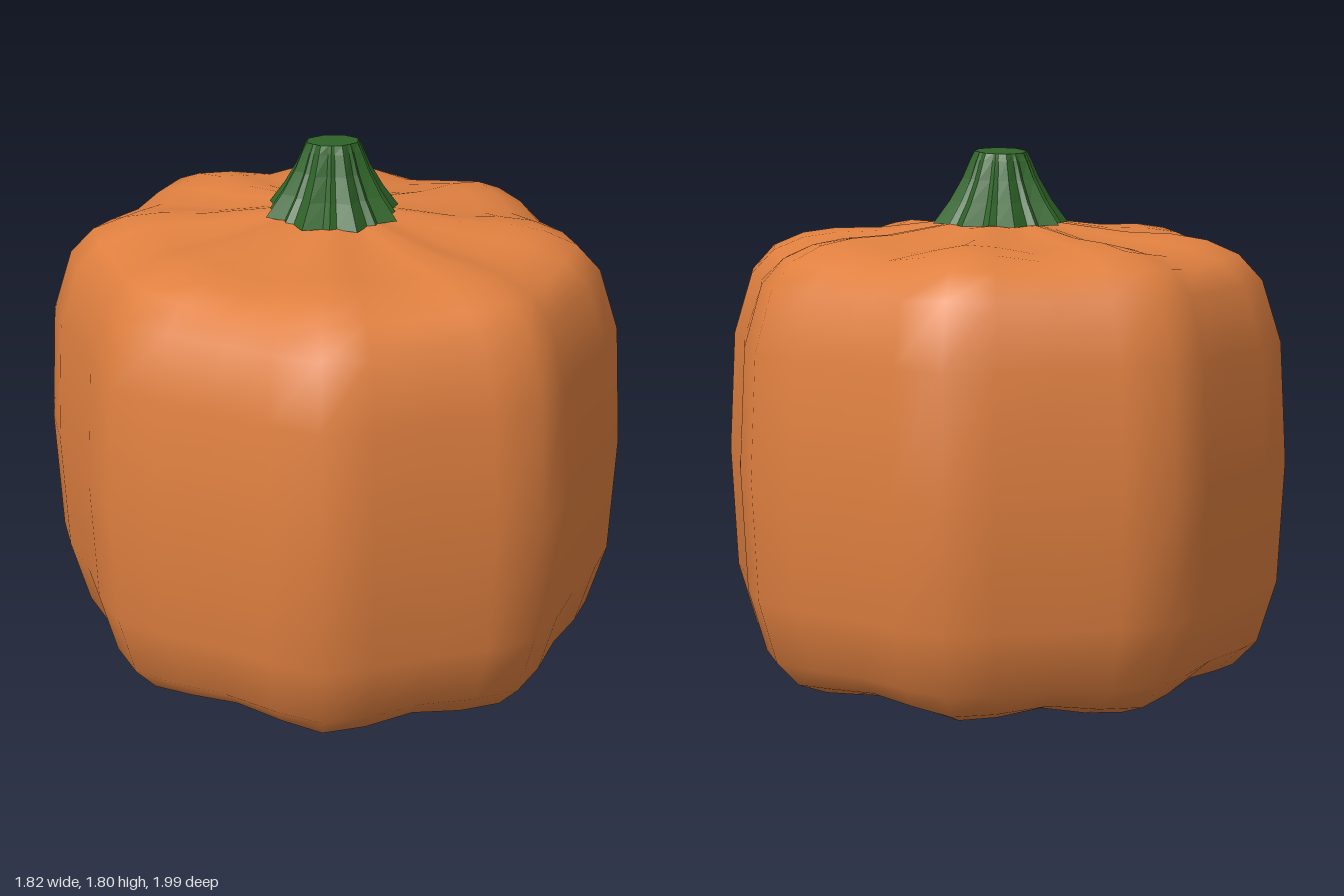
import * as THREE from 'three';

// Joins rings of points (bottom to top, counter-clockwise seen from above) and closes both ends.
function loft(rings, bottom, top) {
  const n = rings[0].length;
  const pts = [...rings.flat(), bottom, top];
  const index = [];
  for (let i = 0; i < rings.length - 1; i++) {
    for (let j = 0; j < n; j++) {
      const a = i * n + j, b = i * n + (j + 1) % n;
      index.push(a, b, b + n, a, b + n, a + n);
    }
  }
  const last = (rings.length - 1) * n, lo = rings.length * n;
  for (let j = 0; j < n; j++) {
    const k = (j + 1) % n;
    index.push(lo, k, j, lo + 1, last + j, last + k);
  }
  const geo = new THREE.BufferGeometry();
  geo.setAttribute('position', new THREE.Float32BufferAttribute(pts.flat(), 3));
  geo.setIndex(index);
  geo.computeVertexNormals();
  return geo;
}

function makeBody() {
  // A quarter of the widest outline as [x, z, valley depth], mirrored into a full loop
  const quarter = [
    [0, 0.98, 0.8], [0.2, 0.995, 0.2], [0.37, 0.98, 0], [0.5, 0.86, 0.5], [0.63, 0.7, 1],
    [0.78, 0.55, 0.5], [0.89, 0.41, 0], [0.91, 0.22, 0.2], [0.895, 0, 0.8],
  ];
  const back = quarter.slice(0, 8).reverse().map(([x, z, v]) => [x, -z, v]);
  const half = [...quarter, ...back];
  const left = half.slice(1, -1).reverse().map(([x, z, v]) => [-x, z, v]);
  const outline = [...half, ...left];

  // Rings from bottom to top: [scale, height, dip of the valleys]
  const levels = [
    [0.22, 0.02, 0.008], [0.44, 0.008, 0.025], [0.6, 0.003, 0.035], [0.72, 0.02, 0.035],
    [0.83, 0.063, 0.025], [0.912, 0.148, 0.01], [0.978, 0.36, 0], [1, 0.77, 0],
    [0.978, 1.17, 0], [0.912, 1.375, -0.01], [0.83, 1.46, -0.025], [0.72, 1.505, -0.035],
    [0.6, 1.523, -0.04], [0.44, 1.527, -0.03], [0.22, 1.553, -0.01],
  ];
  const rings = levels.map(([s, y, dip]) => outline.map(([x, z, v]) => [x * s, y + dip * v, z * s]));
  return loft(rings, [0, 0.03, 0], [0, 1.555, 0]);
}

function makeStem() {
  // Eight broad ridges with a thin rib in the groove between each pair
  const ridge = [[0, 1], [0.35, 0.83], [0.5, 0.9], [0.65, 0.83]];
  // [radius, height, ridge strength, tilt]
  const levels = [
    [0.25, 1.55, 1, 0], [0.19, 1.625, 0.95, 0], [0.143, 1.7, 0.85, 0.02],
    [0.112, 1.765, 0.7, 0.05], [0.097, 1.792, 0.5, 0.08],
  ];
  const rings = levels.map(([r, y, strength, tilt]) => {
    const ring = [];
    for (let k = 0; k < 8; k++) {
      for (const [t, f] of ridge) {
        const a = (k + t) * Math.PI / 4;
        const rr = r * (1 + (f - 1) * strength);
        const z = Math.cos(a) * rr;
        ring.push([Math.sin(a) * rr * 0.93, y + z * tilt, z]);
      }
    }
    return ring;
  });
  return loft(rings, [0, 1.55, 0], [0, 1.792, 0]);
}

export function createModel() {
  const group = new THREE.Group();
  group.name = 'pumpkin';

  const body = new THREE.Mesh(makeBody(), new THREE.MeshStandardMaterial({ color: 0xe08040 }));
  body.name = 'body';

  const stem = new THREE.Mesh(makeStem(), new THREE.MeshStandardMaterial({ color: 0x2f6428, flatShading: true }));
  stem.name = 'stem';

  group.add(body, stem);
  return group;
}
